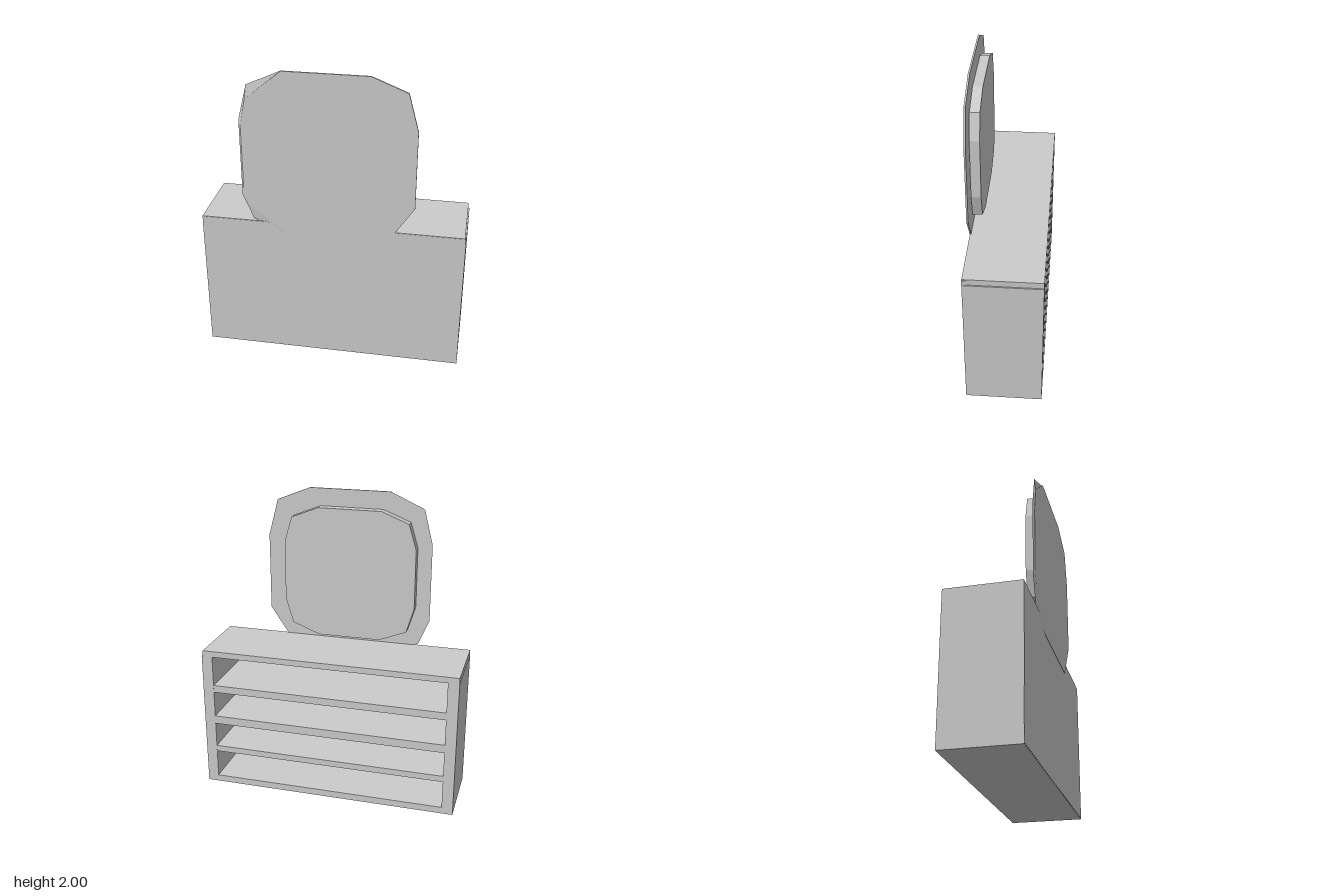
import * as THREE from 'three';

const material = new THREE.MeshStandardMaterial({ color: 0xcccccc, flatShading: true });

// Box given by its minimum and maximum on each axis
function box(name, [x0, x1], [y0, y1], [z0, z1]) {
  const mesh = new THREE.Mesh(new THREE.BoxGeometry(x1 - x0, y1 - y0, z1 - z0), material);
  mesh.position.set((x0 + x1) / 2, (y0 + y1) / 2, (z0 + z1) / 2);
  mesh.name = name;
  return mesh;
}

// Solid between two matching convex outlines, both counter-clockwise from the front
function loft(back, front, zBack, zFront) {
  const n = back.length;
  const positions = [
    ...back.flatMap(([x, y]) => [x, y, zBack]),
    ...front.flatMap(([x, y]) => [x, y, zFront]),
  ];
  const index = [];
  for (let i = 0; i < n; i++) {
    const j = (i + 1) % n;
    index.push(i, j, n + j, i, n + j, n + i);
    if (i > 0 && i < n - 1) index.push(0, i + 1, i, n, n + i, n + i + 1);
  }
  const geometry = new THREE.BufferGeometry();
  geometry.setAttribute('position', new THREE.Float32BufferAttribute(positions, 3));
  geometry.setIndex(index);
  const flat = geometry.toNonIndexed();
  flat.computeVertexNormals();
  return flat;
}

function createCabinet() {
  const cabinet = new THREE.Group();
  cabinet.name = 'cabinet';
  const depth = [-0.245, 0.243];
  cabinet.add(
    box('topBoard', [-0.857, 0.85], [0.935, 0.975], depth),
    box('bottomBoard', [-0.785, 0.785], [0, 0.045], depth),
    box('frontPanel', [-0.855, 0.855], [0.005, 0.97], [0.215, 0.244]),
    box('leftSide', [0.785, 0.858], [0, 0.935], depth),
    box('rightSide', [-0.858, -0.785], [0, 0.935], depth),
  );
  // Shelves, open towards the back
  for (const [y0, y1] of [[0.235, 0.277], [0.447, 0.503], [0.68, 0.73]]) {
    cabinet.add(box('shelf', [-0.785, 0.785], [y0, y1], [-0.244, 0.215]));
  }
  return cabinet;
}

function createMirror() {
  const mirror = new THREE.Group();
  mirror.name = 'mirror';

  // Thin plate, bevelled along its right side only
  const plain = [[0.35, 0.89], [0.41, 0.975], [0.53, 1.155], [0.53, 1.67], [0.465, 1.91], [0.24, 2], [-0.3, 2]];
  const outer = [...plain, [-0.52, 1.9], [-0.578, 1.67], [-0.578, 1.155], [-0.51, 0.99], [-0.3, 0.89]];
  const inner = [...plain, [-0.53, 1.81], [-0.565, 1.64], [-0.565, 1.21], [-0.53, 1.09], [-0.28, 0.89]];
  const plate = new THREE.Mesh(loft(outer, inner, 0.235, 0.246), material);
  plate.name = 'mirrorPlate';

  // Raised rounded panel behind the plate
  const cx = -0.042, cy = 1.448;
  const quarter = [[0.442, 0.2], [0.392, 0.365], [0.21, 0.437]];
  const mirrored = quarter.map(([x, y]) => [-x, y]).reverse();
  const half = [...quarter, ...mirrored];
  const outline = [...half, ...half.map(([x, y]) => [-x, -y])].map(([x, y]) => [cx + x, cy + y]);
  const panel = new THREE.Mesh(loft(outline, outline, 0.168, 0.23), material);
  panel.name = 'mirrorBacking';

  mirror.add(plate, panel);
  return mirror;
}

export function createModel() {
  const model = new THREE.Group();
  model.name = 'dresser';
  model.add(createCabinet(), createMirror());
  return model;
}
